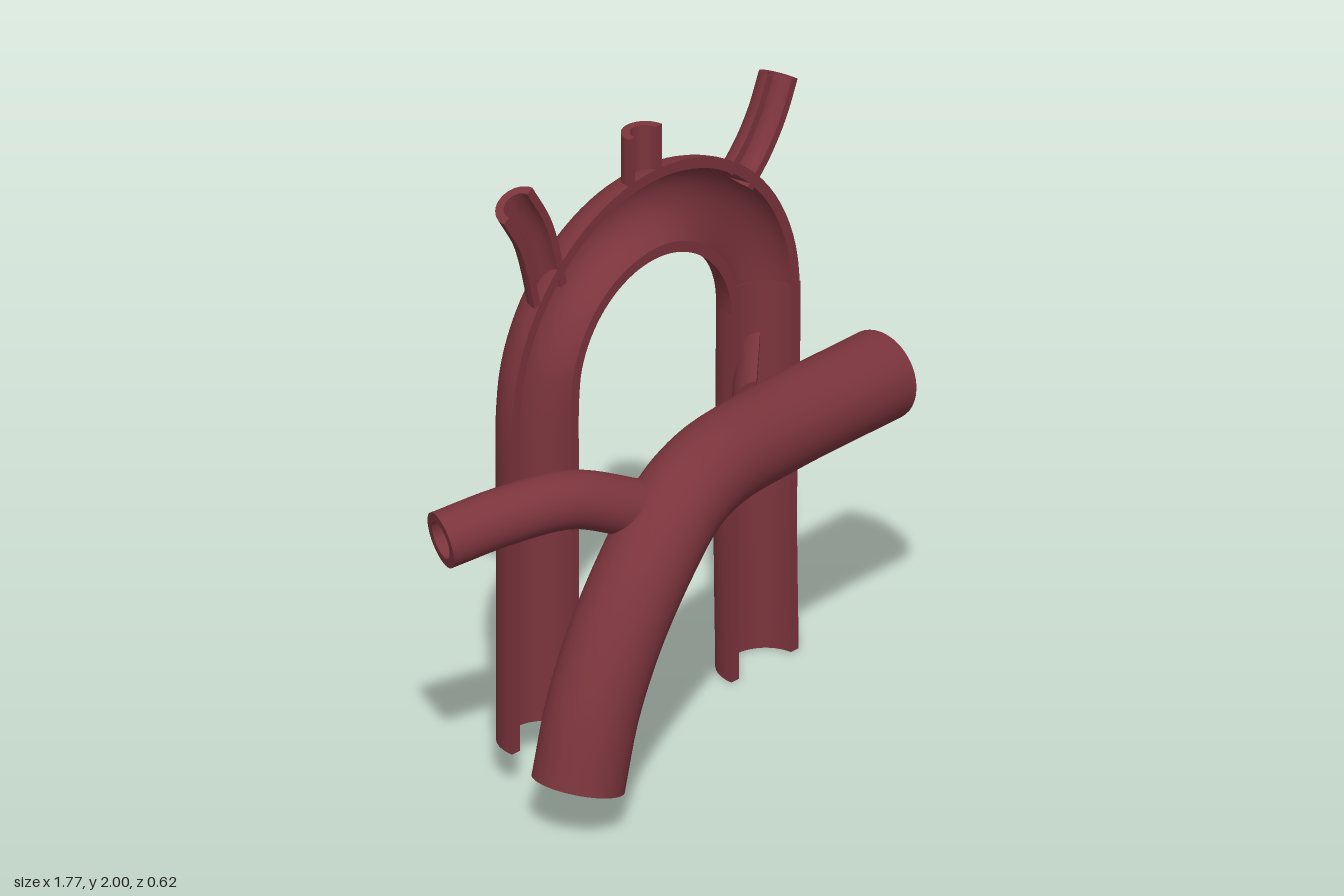
import * as THREE from 'three';
import { toCreasedNormals } from 'three/addons/utils/BufferGeometryUtils.js';

// Sweeps a pipe wall (full ring or half gutter) along a smooth path.
// back = direction the half gutter bulges towards; squash flattens it that way.
function pipe(points, outer, inner, { back = [0, 0, -1], half = false, steps = 40, squash = 1 } = {}) {
  const curve = new THREE.CatmullRomCurve3(points.map(p => new THREE.Vector3(...p)));
  const ref = new THREE.Vector3(...back);
  const n = half ? 20 : 40;
  const arc = half ? Math.PI : Math.PI * 2;
  const ring = 2 * (n + 1);
  const pos = [], index = [];
  const quad = (a, b, c, d) => index.push(a, b, c, a, c, d);

  for (let s = 0; s <= steps; s++) {
    const p = curve.getPointAt(s / steps);
    const t = curve.getTangentAt(s / steps);
    const b = ref.clone().addScaledVector(t, -ref.dot(t)).normalize();
    const nrm = b.clone().cross(t);
    for (let i = 0; i < ring; i++) {
      const outside = i <= n;
      const a = arc * (outside ? i : ring - 1 - i) / n;
      const r = outside ? outer : inner;
      const v = p.clone()
        .addScaledVector(nrm, r * Math.cos(a))
        .addScaledVector(b, r * Math.sin(a) * squash);
      pos.push(v.x, v.y, v.z);
    }
  }
  for (let s = 0; s < steps; s++) {
    for (let i = 0; i < ring; i++) {
      const j = (i + 1) % ring, o = s * ring, q = o + ring;
      quad(o + i, o + j, q + j, q + i);
    }
  }
  // End faces of the wall
  const e = steps * ring;
  for (let i = 0; i < n; i++) {
    const k = ring - 1 - i;
    quad(i, k, k - 1, i + 1);
    quad(e + i, e + i + 1, e + k - 1, e + k);
  }
  const geo = new THREE.BufferGeometry();
  geo.setAttribute('position', new THREE.Float32BufferAttribute(pos, 3));
  geo.setIndex(index);
  return toCreasedNormals(geo, 0.7);
}

export function createModel() {
  const group = new THREE.Group();
  const vesselRed = new THREE.MeshStandardMaterial({ color: 0x7b343c });
  vesselRed.name = 'vesselRed';

  const add = (name, geo) => {
    const mesh = new THREE.Mesh(geo, vesselRed);
    mesh.name = name;
    group.add(mesh);
  };

  // Arch: two legs joined by a semicircle, cut open at the front
  const Z = -0.155;
  const arch = [[-0.393, 0.12, Z], [-0.393, 0.5, Z], [-0.393, 0.9, Z]];
  for (let i = 0; i <= 12; i++) {
    const a = Math.PI * (1 - i / 12);
    arch.push([0.099 + 0.492 * Math.cos(a), 1.213 + 0.492 * Math.sin(a), Z]);
  }
  arch.push([0.589, 0.9, Z], [0.578, 0.5, Z], [0.585, 0, Z]);
  add('archVessel', pipe(arch, 0.15, 0.115, { half: true, steps: 110 }));

  // Slightly raised segment on the right-hand leg
  add('archSegment', pipe([[0.588, 0.837, Z], [0.59, 1.04, Z], [0.591, 1.24, Z]],
    0.152, 0.113, { half: true, steps: 10 }));

  // Three small open branches on top of the arch
  const branches = {
    leftSideBranch: [[0.475, 1.675, Z], [0.555, 1.76, Z], [0.615, 1.85, Z], [0.663, 1.957, Z]],
    middleBranch: [[0.052, 1.82, Z], [0.052, 1.91, Z], [0.052, 2, Z]],
    rightSideBranch: [[-0.37, 1.605, Z], [-0.395, 1.71, Z], [-0.435, 1.83, Z], [-0.515, 1.962, Z]],
  };
  for (const [name, path] of Object.entries(branches)) {
    add(name, pipe(path, 0.074, 0.047, { half: true, steps: 16 }));
  }

  // Large front trunk, bending from vertical to horizontal
  add('frontTrunk', pipe([
    [-0.597, 0.152, 0.165], [-0.53, 0.385, 0.165], [-0.42, 0.6, 0.163], [-0.26, 0.8, 0.155],
    [-0.12, 0.912, 0.138], [0.05, 0.957, 0.11], [0.4, 0.953, 0.068], [0.876, 0.943, 0.049],
  ], 0.143, 0.102, { steps: 70 }));

  // Side branch running back from the trunk
  add('sideBranch', pipe([
    [-0.847, 0.953, -0.167], [-0.65, 0.992, -0.083], [-0.45, 1.0, 0.0], [-0.24, 0.92, 0.085],
  ], 0.09, 0.06, { back: [0, 1, 0], steps: 36 }));

  // Open connecting duct between trunk and arch
  add('connectingDuct', pipe([[0.385, 0.965, -0.005], [0.48, 0.985, -0.085], [0.575, 1.005, -0.165]],
    0.132, 0.1, { half: true, steps: 10, back: [-0.64, 0, -0.76], squash: 0.6 }));

  return group;
}
